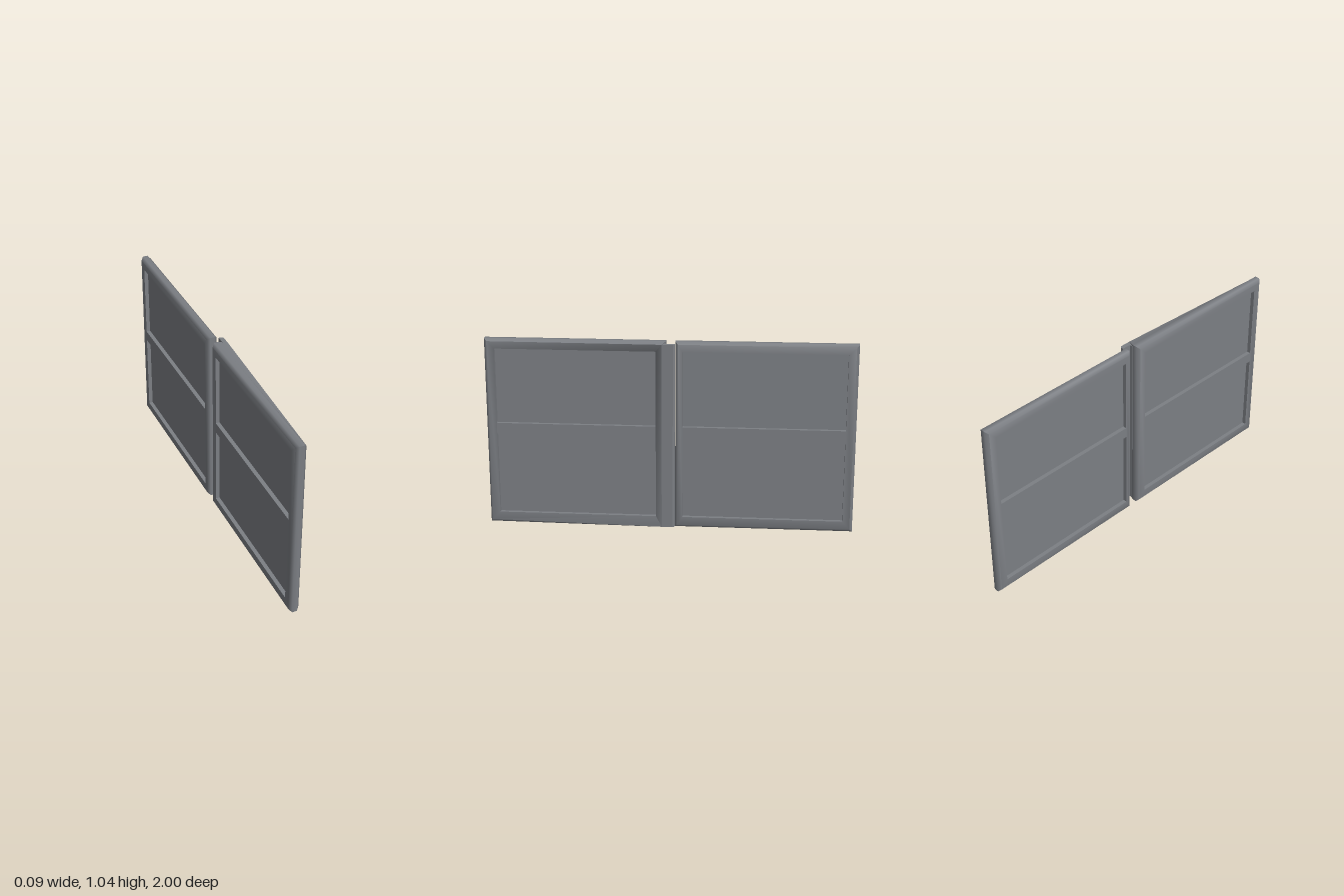
import * as THREE from 'three';
import { toCreasedNormals } from 'three/addons/utils/BufferGeometryUtils.js';

const HEIGHT = 1.045, BEVEL = 0.015, DEPTH = 0.022;
const BACK = -0.045, FRONT = 0.012;

// Four corners in the plane x, counter-clockwise seen from +x
function ring(x, z0, z1, y0, y1) {
  return [[x, y0, z1], [x, y0, z0], [x, y1, z0], [x, y1, z1]];
}

// One door leaf: bevelled frame with two recessed fields on each side
function leafGeometry(z0, z1, win0, win1, lipped) {
  const pos = [];
  const quad = (a, b, c, d, flip) => {
    const q = flip ? [d, c, b, a] : [a, b, c, d];
    for (const i of [0, 1, 2, 0, 2, 3]) pos.push(...q[i]);
  };
  const band = (A, B, flip) => {
    for (let i = 0; i < 4; i++) {
      const j = (i + 1) % 4;
      quad(A[i], A[j], B[j], B[i], flip);
    }
  };

  // Narrow outer edge all round
  const rims = [BACK + BEVEL, FRONT - BEVEL].map((x) => ring(x, z0, z1, 0, HEIGHT));
  band(rims[0], rims[1], false);

  for (const side of [-1, 1]) {
    const flip = side < 0;
    const x = flip ? BACK : FRONT;
    const face = ring(x, z0 + BEVEL, z1 - BEVEL, BEVEL, HEIGHT - BEVEL);
    // The overlapping leaf rises to its meeting strip
    if (lipped && !flip) {
      face[1] = [0.042, 0.01, 0.04];
      face[2] = [0.042, HEIGHT - 0.01, 0.04];
    }
    band(rims[flip ? 0 : 1], face, flip);
    band(face, ring(x, win0, win1, 0.06, 0.99), flip);
    quad(...ring(x, win0, win1, 0.515, 0.575), flip); // middle rail

    // Recessed fields
    for (const [y0, y1] of [[0.06, 0.515], [0.575, 0.99]]) {
      const floor = ring(x - side * DEPTH, win0, win1, y0, y1);
      band(ring(x, win0, win1, y0, y1), floor, flip);
      quad(...floor, flip);
    }
  }
  const geometry = new THREE.BufferGeometry();
  geometry.setAttribute('position', new THREE.Float32BufferAttribute(pos, 3));
  return toCreasedNormals(geometry, 0.9);
}

// Strip that covers the gap between the leaves, as an x-z profile
function stripGeometry() {
  const profile = [[0, 0.04], [0.042, 0.04], [0.042, -0.02], [0.032, -0.03],
    [0.018, -0.03], [0.018, 0.02], [0, 0.02]];
  const shape = new THREE.Shape(profile.map(([x, z]) => new THREE.Vector2(x, -z)));
  const geometry = new THREE.ExtrudeGeometry(shape, { depth: HEIGHT - 0.02, bevelEnabled: false });
  return geometry.rotateX(-Math.PI / 2).translate(0, 0.01, 0);
}

export function createModel() {
  const group = new THREE.Group();
  group.name = 'doubleDoor';
  const grey = new THREE.MeshStandardMaterial({ color: 0x7c7f84 });
  grey.name = 'grey';

  const add = (name, geometry) => {
    const mesh = new THREE.Mesh(geometry, grey);
    mesh.name = name;
    group.add(mesh);
  };
  add('frontLeaf', leafGeometry(0.02, 1, 0.075, 0.945, true));
  add('backLeaf', leafGeometry(-1, -0.03, -0.945, -0.07, false));
  add('meetingStrip', stripGeometry());
  return group;
}
